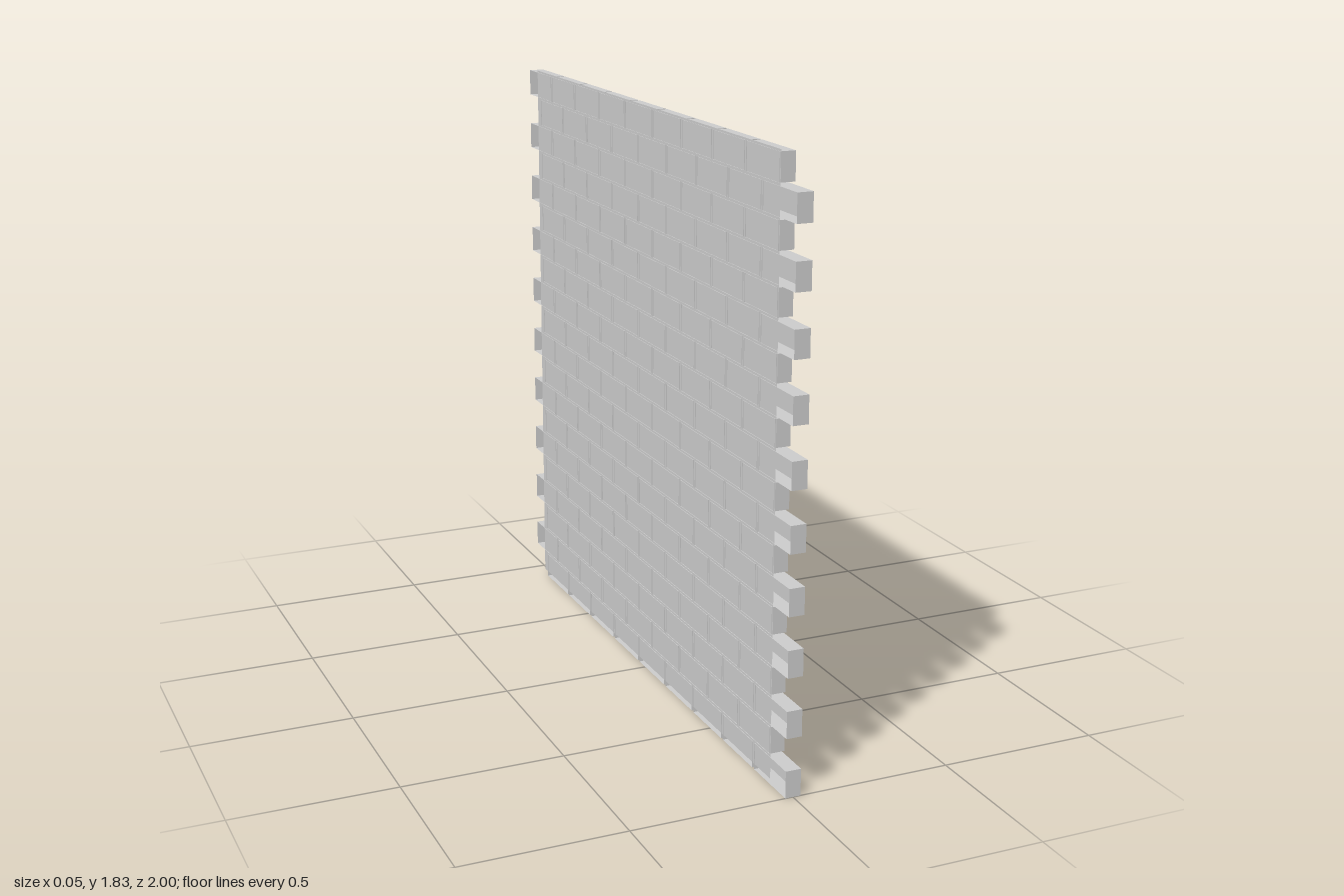
import * as THREE from 'three';

const ROWS = 20, PER_ROW = 9;
const LENGTH = 0.2, HEIGHT = 0.083, DEPTH = 0.048;
const PITCH = 0.212, ROW_PITCH = 0.0914;

export function createModel() {
  const wall = new THREE.Group();
  wall.name = 'brickWall';
  const material = new THREE.MeshStandardMaterial({
    color: 0xcccccc, flatShading: true, side: THREE.DoubleSide,
  });

  // Brick shell: a box without its -x (rear) face
  const brickGeometry = new THREE.BoxGeometry(DEPTH, HEIGHT, LENGTH);
  const index = Array.from(brickGeometry.index.array);
  index.splice(6, 6);
  brickGeometry.setIndex(index);
  brickGeometry.clearGroups();

  // Courses: even rows reach the +z end, odd rows the -z end
  for (let r = 0; r < ROWS; r++) {
    const course = new THREE.Group();
    course.name = `course${r + 1}`;
    course.position.y = HEIGHT / 2 + r * ROW_PITCH;
    const start = r % 2 === 0 ? 1 : 0.896;
    for (let i = 0; i < PER_ROW; i++) {
      const brick = new THREE.Mesh(brickGeometry, material);
      brick.name = 'brick';
      brick.position.z = start - LENGTH / 2 - i * PITCH;
      course.add(brick);
    }
    wall.add(course);
  }

  // Thin mortar sheet closing the rear of the bricks
  const z0 = -0.93, z1 = 0.9, y0 = 0.015, y1 = 1.826;
  const mortar = new THREE.Mesh(new THREE.PlaneGeometry(z1 - z0, y1 - y0), material);
  mortar.name = 'mortarBacking';
  mortar.rotation.y = -Math.PI / 2;
  mortar.position.set(-DEPTH / 2 + 0.002, (y0 + y1) / 2, (z0 + z1) / 2);
  wall.add(mortar);

  return wall;
}
